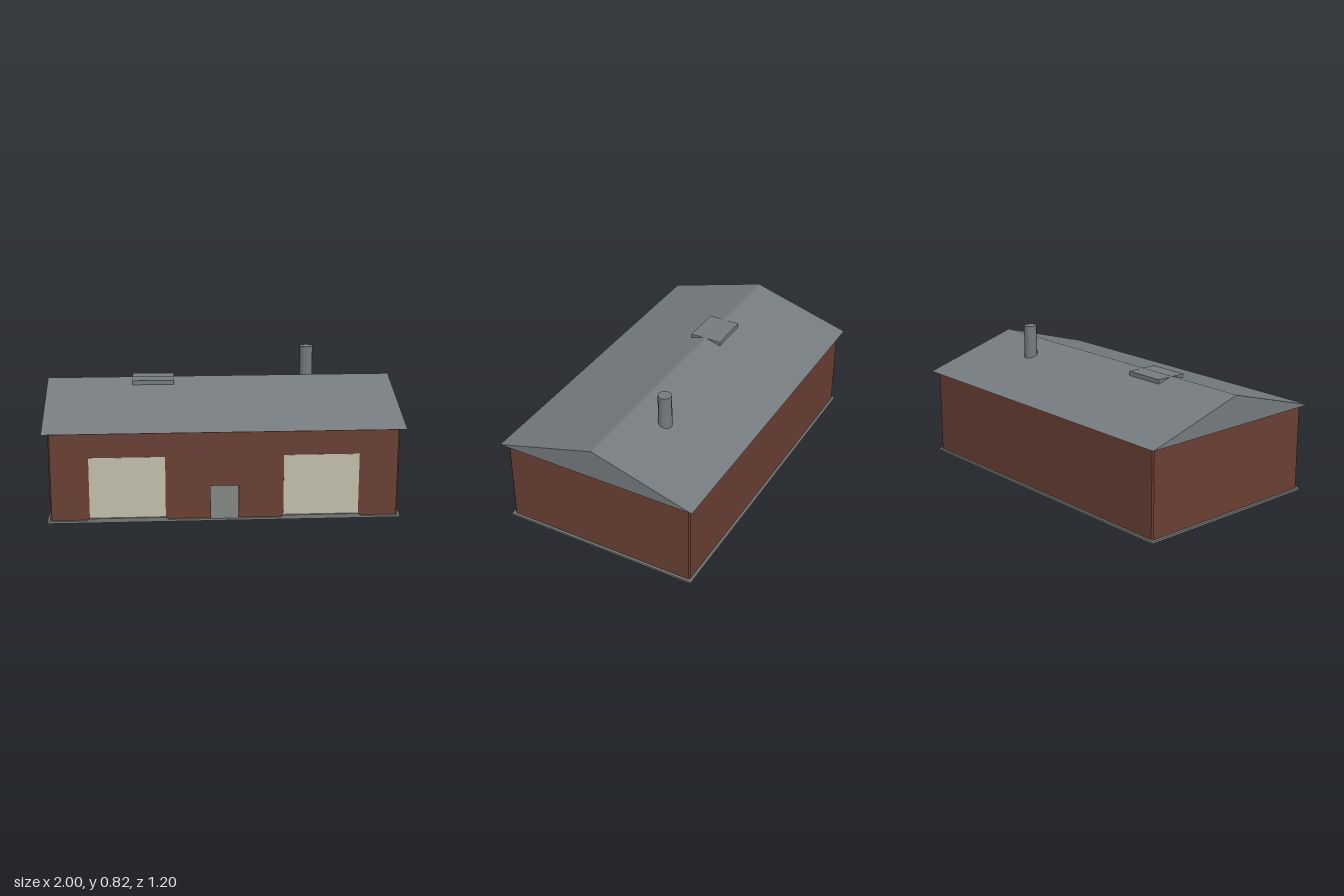
import * as THREE from 'three';

const paint = (color) => new THREE.MeshStandardMaterial({ color, flatShading: true });
const brick = paint(0x6a4034);
const slate = paint(0x757b7f);
const concrete = paint(0x757875);
const shutter = paint(0xc2bdad);

// Half sizes of the walls, corner chamfer, wall thickness, and heights
const W = 0.967, D = 0.57, C = 0.008, T = 0.02;
const FLOOR = 0.013, DOOR_TOP = 0.2, EAVES = 0.515, RIDGE = 0.69;
const DOOR_L = -0.08, DOOR_R = 0.076;

const polygon = (points) => new THREE.Shape(points.map(([x, y]) => new THREE.Vector2(x, y)));

// Extrudes a floor plan upwards; the front of the plan is at negative y
function extrudeUp(shape, y0, y1) {
  const geometry = new THREE.ExtrudeGeometry(shape, { depth: y1 - y0, bevelEnabled: false });
  return geometry.rotateX(-Math.PI / 2).translate(0, y0, 0);
}

export function createModel() {
  const model = new THREE.Group();
  const add = (name, geometry, material, x = 0, y = 0, z = 0) => {
    const mesh = new THREE.Mesh(geometry, material);
    mesh.name = name;
    mesh.position.set(x, y, z);
    model.add(mesh);
    return mesh;
  };
  const box = (name, material, [w, h, d], [x, y, z]) =>
    add(name, new THREE.BoxGeometry(w, h, d), material, x, y, z);

  // Foundation slab with a brown underside
  box('foundation', concrete, [1.964, 0.012, 1.168], [0, 0.007, 0]);
  box('underside', brick, [2 * W, 0.01, 2 * D], [0, 0.005, 0]);

  // Chamfered outline and inner outline of the walls
  const outer = [
    [W - C, -D], [W, -D + C], [W, D - C], [W - C, D],
    [-W + C, D], [-W, D - C], [-W, -D + C], [-W + C, -D],
  ];
  const w = W - T, d = D - T;
  const inner = [[-w, -d], [-w, d], [w, d], [w, -d]];

  // Lower walls leave a gap for the doorway, upper walls run all round
  const lower = polygon([
    [DOOR_R, -D], ...outer, [DOOR_L, -D],
    [DOOR_L, -d], ...inner, [DOOR_R, -d],
  ]);
  add('lowerWalls', extrudeUp(lower, FLOOR, DOOR_TOP), brick);
  const upper = polygon(outer);
  upper.holes.push(polygon(inner));
  add('upperWalls', extrudeUp(upper, DOOR_TOP, EAVES), brick);

  // Gabled roof
  const gable = polygon([[-0.6, EAVES], [0.6, EAVES], [0, RIDGE]]);
  const roof = new THREE.ExtrudeGeometry(gable, { depth: 2, bevelEnabled: false });
  add('roof', roof.translate(0, 0, -1).rotateY(Math.PI / 2), slate);

  // Ridge vent and chimney
  box('ridgeVent', slate, [0.242, 0.036, 0.19], [-0.388, 0.669, -0.002]);
  add('chimney', new THREE.CylinderGeometry(0.039, 0.039, 0.225, 12), slate, 0.535, 0.7125, -0.18);

  // Two large shutters, each with a tapered threshold
  const sill = polygon([[-0.225, FLOOR], [0.225, FLOOR], [0.21, 0.025], [-0.21, 0.025]]);
  for (const [side, x] of [['right', -0.54], ['left', 0.535]]) {
    box(side + 'Shutter', shutter, [0.42, 0.355, 0.012], [x, 0.1945, D - 0.004]);
    const threshold = new THREE.ExtrudeGeometry(sill, { depth: 0.02, bevelEnabled: false });
    add(side + 'Threshold', threshold, concrete, x, 0, 0.564);
  }

  return model;
}
